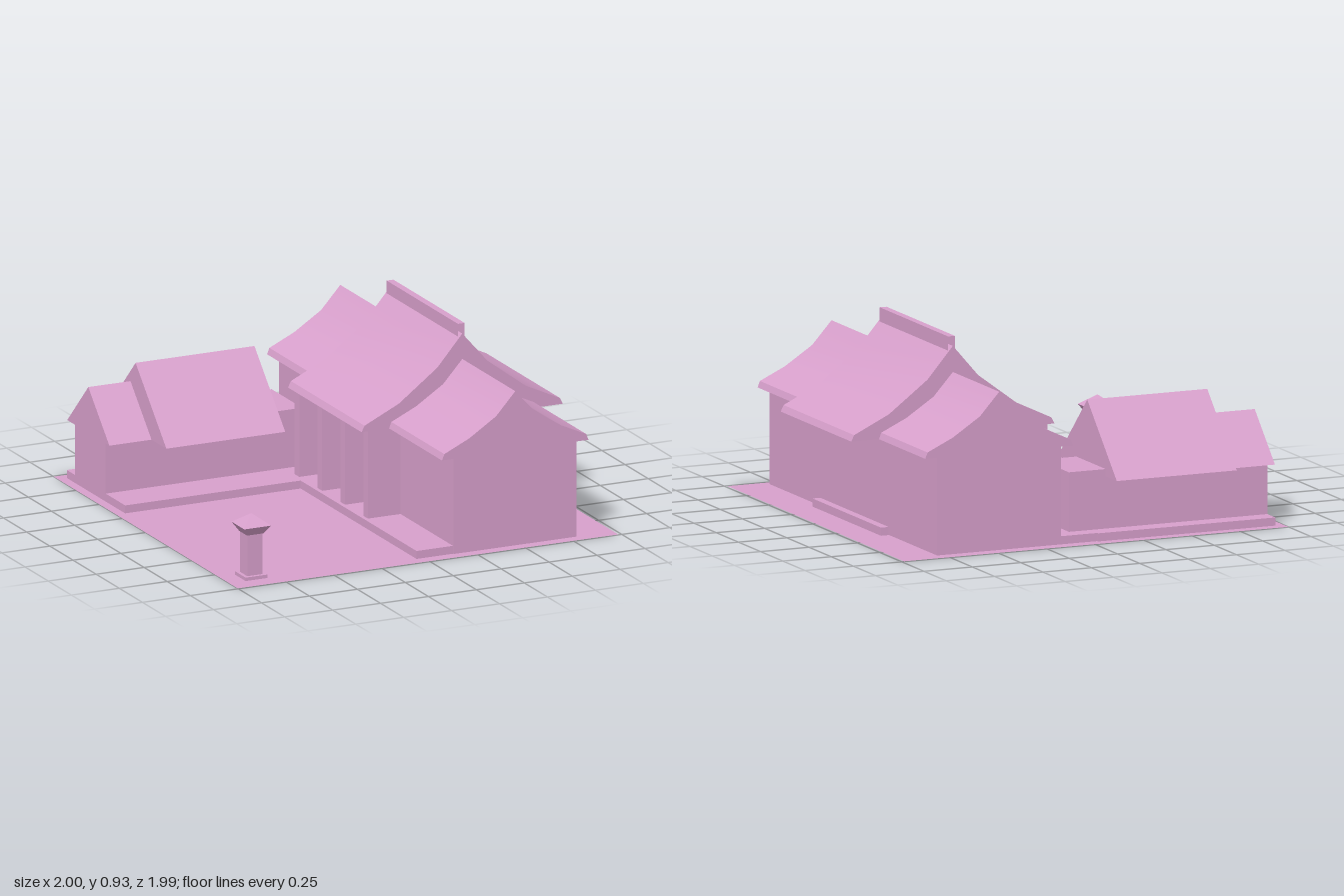
import * as THREE from 'three';
import { toCreasedNormals } from 'three/addons/utils/BufferGeometryUtils.js';

export function createModel() {
  const model = new THREE.Group();
  model.name = 'courtyardHouse';
  const mat = new THREE.MeshStandardMaterial({ color: 0xd8a0cc });
  const thin = mat.clone();
  thin.side = THREE.DoubleSide;

  function add(name, geo, material = mat, parent = model) {
    const mesh = new THREE.Mesh(geo, material);
    mesh.name = name;
    parent.add(mesh);
    return mesh;
  }

  // Box given by its min and max on each axis
  function box(name, x0, x1, y0, y1, z0, z1, parent = model) {
    const geo = new THREE.BoxGeometry(x1 - x0, y1 - y0, z1 - z0);
    geo.translate((x0 + x1) / 2, (y0 + y1) / 2, (z0 + z1) / 2);
    return add(name, geo, mat, parent);
  }

  // Solid prism along z from a half profile [distance from ridge, y], mirrored
  function roofAlongZ(name, cx, half, z0, z1) {
    const right = half.map(([d, y]) => new THREE.Vector2(cx + d, y));
    const left = half.slice(1).reverse().map(([d, y]) => new THREE.Vector2(cx - d, y));
    const shape = new THREE.Shape([...right, ...left]);
    const geo = new THREE.ExtrudeGeometry(shape, { depth: z1 - z0, bevelEnabled: false });
    geo.translate(0, 0, z0);
    return add(name, toCreasedNormals(geo, 0.3));
  }

  // Plain gabled prism with its ridge along x
  function roofAlongX(name, x0, x1, zBack, zFront, y0, y1) {
    const shape = new THREE.Shape([
      new THREE.Vector2(-zFront, y0),
      new THREE.Vector2(-zBack, y0),
      new THREE.Vector2(-(zBack + zFront) / 2, y1),
    ]);
    const geo = new THREE.ExtrudeGeometry(shape, { depth: x1 - x0, bevelEnabled: false });
    geo.rotateY(Math.PI / 2);
    geo.translate(x0, 0, 0);
    return add(name, geo);
  }

  // Ground sheet
  const ground = new THREE.PlaneGeometry(1.985, 1.985);
  ground.rotateX(-Math.PI / 2);
  ground.translate(-0.0075, 0, 0);
  add('ground', ground, thin);

  // Foundations and side step
  box('hallFoundation', -0.04, 0.78, 0.001, 0.04, -0.935, 0.937);
  box('sideStep', 0.78, 0.83, 0.001, 0.04, -0.395, 0.375);
  box('annexFoundation', -0.955, -0.04, 0.001, 0.04, -0.945, -0.315);

  // Long hall with curved roofs
  box('hallWalls', 0.15, 0.79, 0.002, 0.47, -0.94, 0.945);
  roofAlongZ('wingRoof', 0.47,
    [[0, 0.76], [0.1, 0.65], [0.24, 0.56], [0.37, 0.5], [0.382, 0.47]], -0.942, 0.947);
  roofAlongZ('mainRoof', 0.47,
    [[0, 0.885], [0.13, 0.735], [0.33, 0.585], [0.51, 0.5], [0.525, 0.47]], -0.42, 0.375);

  // Porch piers carrying the main roof
  for (let i = 0; i < 4; i++) {
    const z = -0.42 + i * 0.247;
    box('porchPier', -0.02, 0.15, 0.04, 0.47, z, z + 0.05);
  }

  // Ridge cap, open at both ends
  const capProfile = [[0.49, 0.86], [0.49, 0.93], [0.455, 0.93], [0.455, 0.86]];
  const pos = [], index = [];
  for (let i = 0; i < 3; i++) {
    const [a, b] = [capProfile[i], capProfile[i + 1]];
    pos.push(...a, 0.36, ...a, -0.41, ...b, -0.41, ...b, 0.36);
    const n = i * 4;
    index.push(n, n + 1, n + 2, n, n + 2, n + 3);
  }
  const cap = new THREE.BufferGeometry();
  cap.setAttribute('position', new THREE.Float32BufferAttribute(pos, 3));
  cap.setIndex(index);
  cap.computeVertexNormals();
  add('ridgeCap', cap, thin);

  // Annex with a tall and a low roof
  box('annexWalls', -0.955, 0.07, 0.04, 0.325, -0.855, -0.525);
  roofAlongX('annexRoof', -0.74, -0.12, -0.98, -0.315, 0.29, 0.62);
  roofAlongX('annexLowRoof', -0.96, -0.74, -0.93, -0.475, 0.29, 0.515);

  // Stone lantern in the courtyard
  const lantern = new THREE.Group();
  lantern.name = 'lantern';
  lantern.position.set(-0.86, 0, 0.85);
  model.add(lantern);
  box('lanternBase', -0.057, 0.057, 0.001, 0.018, -0.057, 0.057, lantern);
  box('lanternPost', -0.04, 0.04, 0.018, 0.22, -0.04, 0.04, lantern);
  const square = (top, bottom, y0, y1) => {
    const geo = new THREE.CylinderGeometry(top * Math.SQRT2, bottom * Math.SQRT2, y1 - y0, 4);
    geo.rotateY(Math.PI / 4);
    geo.translate(0, (y0 + y1) / 2, 0);
    return toCreasedNormals(geo, 0.3);
  };
  add('lanternCorbel', square(0.07, 0.042, 0.218, 0.26), mat, lantern);
  add('lanternCap', square(0, 0.07, 0.26, 0.312), mat, lantern);

  return model;
}
